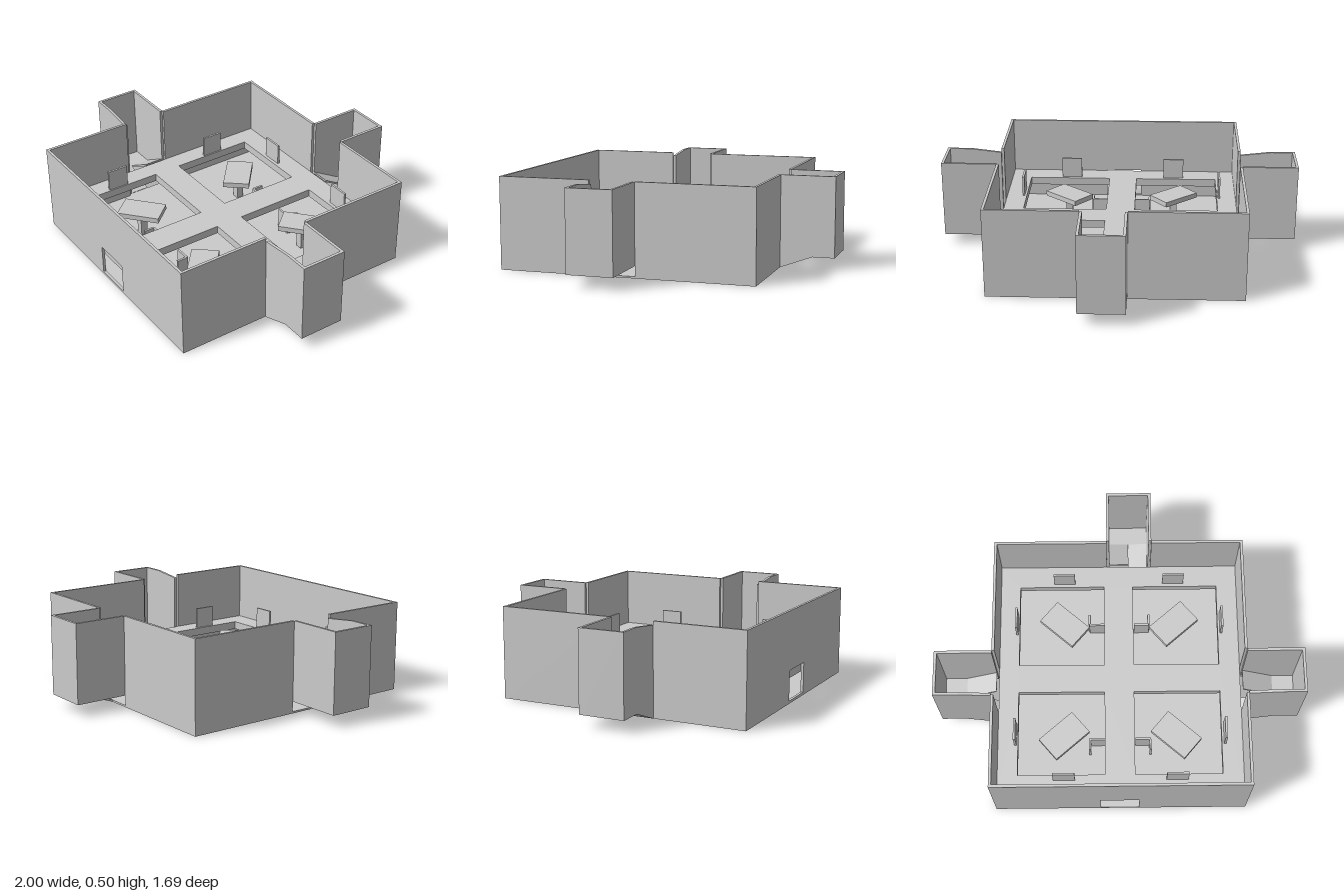
import * as THREE from 'three';

const material = new THREE.MeshStandardMaterial({ color: 0xcccccc, flatShading: true });
const T = 0.015; // wall thickness
const X = 0.69, Z0 = -0.55, Z1 = 0.845, H = 0.5;
const DECK = 0.175, MID = 0.145; // upper floor height, z of the mirror line of the four bays

function add(parent, name, geometry) {
  const mesh = new THREE.Mesh(geometry, material);
  mesh.name = name;
  parent.add(mesh);
  return mesh;
}

// Box given by its ranges on each axis
function block(parent, name, x0, x1, y0, y1, z0, z1) {
  const g = new THREE.BoxGeometry(Math.abs(x1 - x0), y1 - y0, Math.abs(z1 - z0));
  g.translate((x0 + x1) / 2, (y0 + y1) / 2, (z0 + z1) / 2);
  return add(parent, name, g);
}

// Side profile in x/y, swept from z0 to z1
function sweep(parent, name, points, z0, z1) {
  const shape = new THREE.Shape(points.map(([x, y]) => new THREE.Vector2(x, y)));
  const g = new THREE.ExtrudeGeometry(shape, { depth: z1 - z0, bevelEnabled: false });
  g.translate(0, 0, z0);
  return add(parent, name, g);
}

function rectangle(Type, x0, x1, y0, y1) {
  const r = new Type();
  r.moveTo(x0, y0);
  r.lineTo(x1, y0);
  r.lineTo(x1, y1);
  r.lineTo(x0, y1);
  r.closePath();
  return r;
}

// Stairwell sticking out along local +x; s is the side of the ramp that goes down
function stairwell(name, length, s, dip) {
  const g = new THREE.Group();
  g.name = name;
  const W = 0.125, R = 0.175, L = 0.065, t = 0.012;
  const range = (a, b) => (s > 0 ? [a, b] : [-b, -a]);
  sweep(g, 'lowerRampWall',
    [[0, 0], [R, L], [length, L], [length, H], [R, H], [0, H - dip]], ...range(W - T, W));
  block(g, 'upperRampWall', 0, length, L, H, -s * W, -s * (W - T));
  block(g, 'endWall', length - T, length, L, H, -W + T, W - T);
  block(g, 'landing', R, length - T, L, L + t, -W + T, W - T);
  sweep(g, 'lowerRamp', [[0, 0], [R, L], [R, L + t], [0, t]], ...range(0, W - T));
  sweep(g, 'upperRamp', [[0, DECK - t], [R, L], [R, L + t], [0, DECK]], ...range(-W + T, 0));
  return g;
}

export function createModel() {
  const model = new THREE.Group();
  model.name = 'building';

  // Ground floor and outer walls, open at the stairwells
  block(model, 'groundFloor', -X, X, 0, 0.01, Z0, Z1);
  for (const s of [-1, 1]) {
    block(model, 'sideWallBack', s * (X - T), s * X, 0, H, Z0, 0.09);
    block(model, 'sideWallFront', s * (X - T), s * X, 0, H, 0.34, Z1);
  }
  block(model, 'backWall', -X + T, -0.0675, 0, H, Z0, Z0 + T);
  block(model, 'backWall', 0.1825, X - T, 0, H, Z0, Z0 + T);

  // Front wall with doorway
  const front = rectangle(THREE.Shape, -X + T, X - T, 0, H);
  front.holes.push(rectangle(THREE.Path, -0.11, 0.1, 0.015, 0.18));
  const frontGeometry = new THREE.ExtrudeGeometry(front, { depth: T, bevelEnabled: false });
  add(model, 'frontWall', frontGeometry).position.z = Z1 - T;

  // Upper floor with four openings
  const deck = rectangle(THREE.Shape, -X + T, X - T, Z0 + T, Z1 - T);
  for (const sx of [-1, 1]) {
    for (const z of [-0.41, 0.225]) {
      const [a, b] = sx < 0 ? [-0.565, -0.085] : [0.08, 0.56];
      deck.holes.push(rectangle(THREE.Path, a, b, z, z + 0.475));
    }
  }
  const deckGeometry = new THREE.ExtrudeGeometry(deck, { depth: 0.045, bevelEnabled: false });
  deckGeometry.rotateX(Math.PI / 2);
  add(model, 'upperFloor', deckGeometry).position.y = DECK;

  // Furnishings of the four bays
  for (const sx of [-1, 1]) {
    for (const sz of [-1, 1]) {
      const bay = new THREE.Group();
      bay.name = 'bay';
      model.add(bay);
      const z = (d) => MID + sz * d;
      const slab = add(bay, 'tiltedSlab', new THREE.BoxGeometry(0.24, 0.03, 0.15));
      slab.position.set(sx * 0.31, 0.157, z(0.33));
      slab.rotation.y = -sx * sz * 0.71;
      block(bay, 'slabSupport', sx * 0.29, sx * 0.33, 0.01, 0.142, z(0.31), z(0.35));
      block(bay, 'backPanel', sx * 0.25, sx * 0.37, DECK, 0.295, z(0.574), z(0.586));
      block(bay, 'sidePanel', sx * 0.572, sx * 0.584, DECK, 0.295, z(0.265), z(0.385));
      block(bay, 'innerPanel', sx * 0.085, sx * 0.17, 0.01, 0.13, z(0.334), z(0.346));
      block(bay, 'innerPanelEnd', sx * 0.163, sx * 0.175, 0.01, 0.13, z(0.346), z(0.4));
    }
  }

  // Stairwells on the two sides and the back
  const left = stairwell('leftStairwell', 0.31, 1, 0.02);
  left.position.set(X, 0, 0.215);
  const right = stairwell('rightStairwell', 0.31, -1, 0.02);
  right.position.set(-X, 0, 0.215);
  right.rotation.y = Math.PI;
  const back = stairwell('backStairwell', 0.295, 1, 0);
  back.position.set(0.0575, 0, Z0);
  back.rotation.y = Math.PI / 2;
  model.add(left, right, back);

  return model;
}
